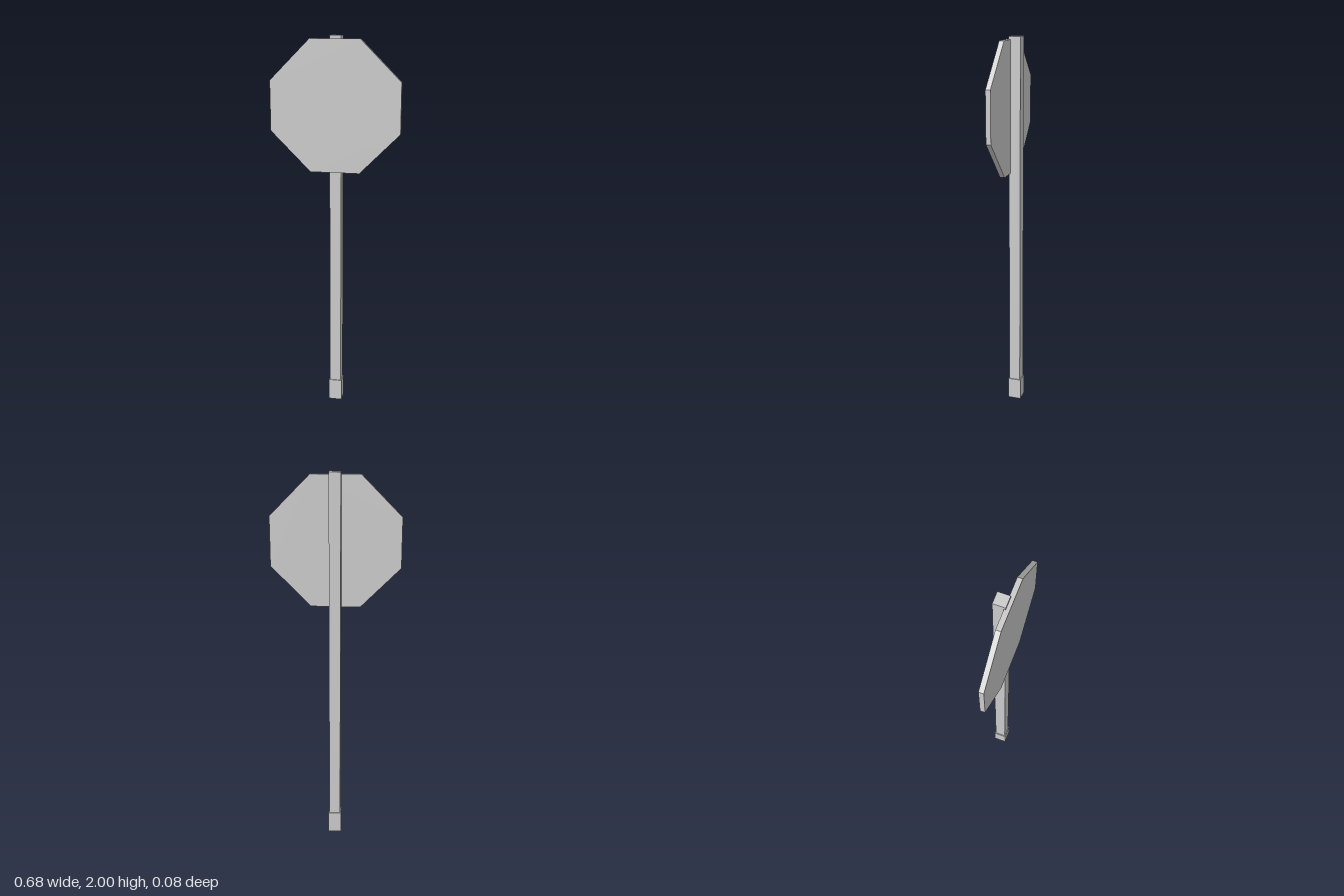
import * as THREE from 'three';

const grey = new THREE.MeshStandardMaterial({ color: 0xcccccc, flatShading: true });

function box(name, w, h, d, y0, z) {
  const mesh = new THREE.Mesh(new THREE.BoxGeometry(w, h, d), grey);
  mesh.name = name;
  mesh.position.set(0, y0 + h / 2, z);
  return mesh;
}

export function createModel() {
  const group = new THREE.Group();
  group.name = 'roadSign';

  // square post standing in a slightly wider ground sleeve
  const postZ = -0.006;
  group.add(box('groundSleeve', 0.07, 0.117, 0.07, 0, postZ));
  group.add(box('post', 0.06, 1.95, 0.06, 0.05, postZ));

  // octagonal plate, let slightly into the front of the post
  const half = 0.338, c = 0.129;
  const outline = [
    [half, -c], [half, c], [c, half], [-c, half],
    [-half, c], [-half, -c], [-c, -half], [c, -half],
  ].map(([x, y]) => new THREE.Vector2(x, y));
  const plate = new THREE.Mesh(
    new THREE.ExtrudeGeometry(new THREE.Shape(outline), { depth: 0.025, bevelEnabled: false }),
    grey
  );
  plate.name = 'signPlate';
  plate.position.set(0, 1.647, 0.016);
  group.add(plate);

  return group;
}
